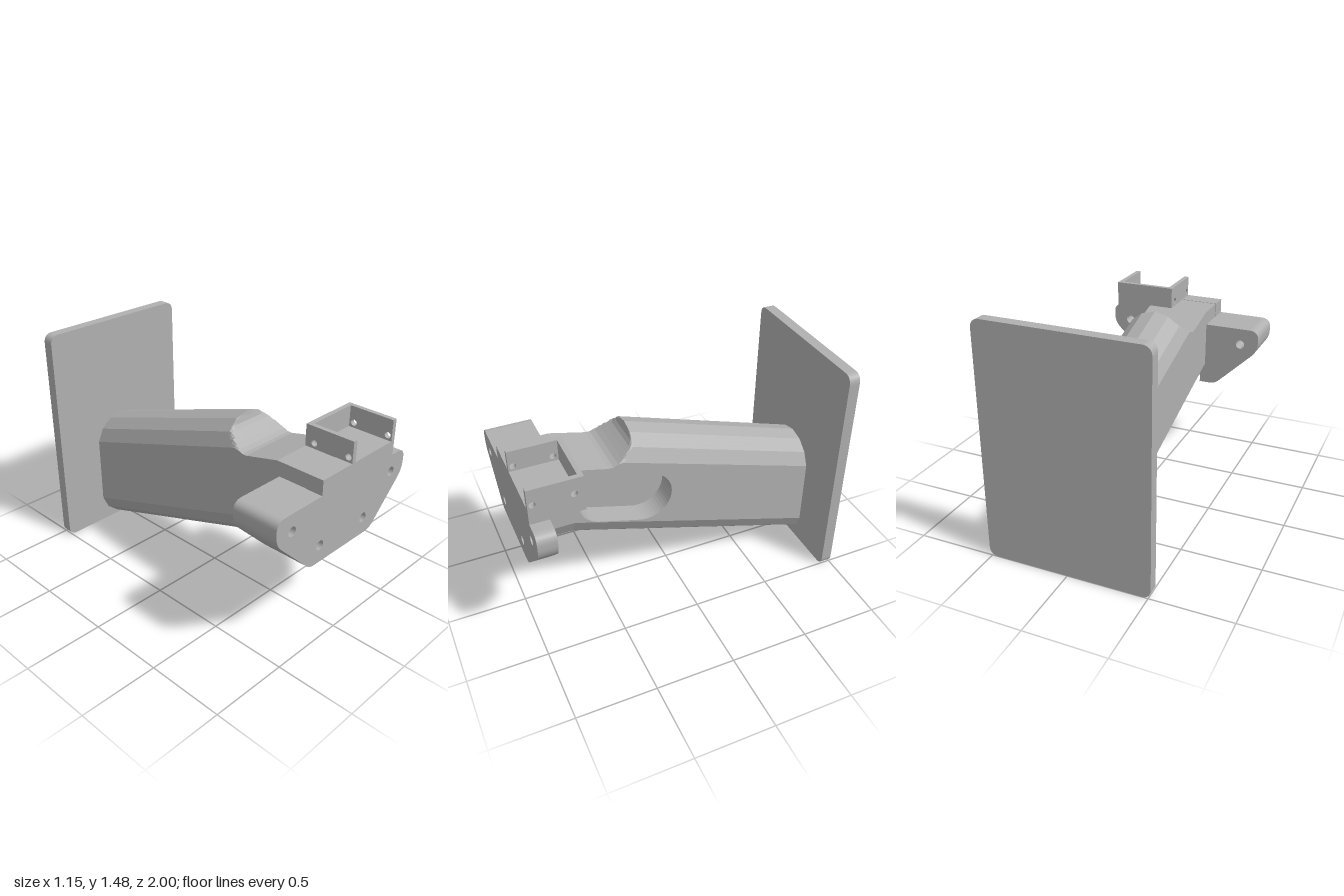
import * as THREE from 'three';

const grey = new THREE.MeshStandardMaterial({ color: 0xb0b0b0 });
grey.name = 'plain grey';

function part(group, name, geometry, x = 0, y = 0, z = 0) {
  const mesh = new THREE.Mesh(geometry, grey);
  mesh.name = name;
  mesh.position.set(x, y, z);
  group.add(mesh);
  return mesh;
}

// Closed outline from [x, y, cornerRadius] points
function outline(points) {
  const shape = new THREE.Shape();
  const n = points.length;
  points.forEach(([x, y, r = 0], i) => {
    const toward = ([px, py]) => {
      const k = r / Math.hypot(px - x, py - y);
      return [x + (px - x) * k, y + (py - y) * k];
    };
    const a = toward(points[(i + n - 1) % n]);
    const b = toward(points[(i + 1) % n]);
    if (i === 0) shape.moveTo(...a); else shape.lineTo(...a);
    if (r > 0) shape.quadraticCurveTo(x, y, ...b);
  });
  shape.closePath();
  return shape;
}

function circleHole(x, y, r) {
  return new THREE.Path().absarc(x, y, r, 0, Math.PI * 2, true);
}

const extrude = (shape, depth) =>
  new THREE.ExtrudeGeometry(shape, { depth, bevelEnabled: false, curveSegments: 12 });

// Arm: fourteen-sided rounded ends, sloping up to the front, with a scooped top
const BACK = -0.93, FRONT = 0.885, R = 0.21, SLOPE = 0.326, WALL_X = R * Math.sin(Math.PI * 3 / 7);
const scoop = [[0.27, 1.2], [0.274, 1.165], [0.282, 1.135], [0.3, 1.11], [0.33, 1.086], [0.36, 1.064],
  [0.39, 1.044], [0.42, 1.032], [0.45, 1.032], [0.48, 1.039], [0.68, 1.088], [0.82, 1.088], [FRONT, 1.088]];
const stations = [[BACK, 9], ...scoop];

// Half arc points [x, height above the lowest point], facets subdivided
const arc = [];
for (let i = -3; i <= 3; i++) {
  const at = k => [R * Math.sin(k * Math.PI / 7), R * 1.05 * (1 - Math.cos(k * Math.PI / 7))];
  const [p, q] = [at(i), at(i + 1)];
  for (let s = 0; s < (i < 3 ? 4 : 1); s++) {
    arc.push([p[0] + (q[0] - p[0]) * s / 4, p[1] + (q[1] - p[1]) * s / 4]);
  }
}

function armRing([z, cut]) {
  const low = 0.005 + SLOPE * (Math.min(z, 0.68) - BACK);
  const high = 0.80 + SLOPE * (z - BACK);
  const floor = z > 0.8 ? 0.57 : -1;
  const bottom = arc.map(([x, h]) => [x, Math.max(low + h, floor), z]);
  const top = arc.map(([x, h]) => [x, Math.min(high - h, cut), z]).reverse();
  return [...bottom, ...top];
}

function armSkin(rings) {
  const pos = [];
  const n = rings[0].length;
  for (let i = 0; i < rings.length - 1; i++) {
    for (let j = 0; j < n; j++) {
      if (j === arc.length - 1) continue; // slotted wall is a separate part
      const k = (j + 1) % n;
      const a = rings[i][j], b = rings[i][k], c = rings[i + 1][k], d = rings[i + 1][j];
      pos.push(...a, ...b, ...d, ...b, ...c, ...d);
    }
  }
  const g = new THREE.BufferGeometry();
  g.setAttribute('position', new THREE.Float32BufferAttribute(pos, 3));
  g.computeVertexNormals();
  return g;
}

// Slanted slot outline, drawn with horizontal axis = -z
function slot(Type) {
  const a = Math.atan2(-0.075, 0.26), h = Math.PI / 2;
  const p = new Type();
  p.absarc(-0.48, 0.82, 0.17, a + h, a + 3 * h, false);
  p.absarc(-0.22, 0.745, 0.17, a - h, a + h, false);
  p.closePath();
  return p;
}

export function createModel() {
  const model = new THREE.Group();
  model.name = 'wallBracket';

  // Wall plate
  const wallPlate = outline([[-0.515, 0, 0.06], [0.515, 0, 0.06], [0.515, 1.475, 0.06], [-0.515, 1.475, 0.06]]);
  part(model, 'wallPlate', extrude(wallPlate, 0.07), 0, 0, -1);

  // Arm skin and its front end
  const arm = new THREE.Group();
  arm.name = 'arm';
  model.add(arm);
  const rings = stations.map(armRing);
  part(arm, 'armSkin', armSkin(rings));
  const end = new THREE.Shape(rings[rings.length - 1].map(([x, y]) => new THREE.Vector2(x, y)));
  part(arm, 'armEnd', new THREE.ShapeGeometry(end), 0, 0, FRONT);

  // Slotted side wall with a blind pocket
  const depth = 0.15, last = arc.length - 1;
  const wall = new THREE.Shape([
    ...rings.map(r => new THREE.Vector2(-r[last][2], r[last][1])),
    ...rings.map(r => new THREE.Vector2(-r[last + 1][2], r[last + 1][1])).reverse(),
  ]);
  wall.holes.push(slot(THREE.Path));
  part(arm, 'slottedWall', extrude(wall, depth).rotateY(Math.PI / 2), WALL_X - depth);
  part(arm, 'slotFloor', new THREE.ShapeGeometry(slot(THREE.Shape), 12).rotateY(Math.PI / 2), WALL_X - depth + 0.001);

  // Front mounting plate with four screw holes
  const ear = [[-0.575, 0.995, 0.065], [-0.575, 0.853, 0.06], [-0.28, 0.568, 0.04]];
  const mirrored = ear.map(([x, y, r]) => [-x, y, r]).reverse();
  const face = outline([...ear, ...mirrored, [0.045, 0.995], [0.045, 1.09], [-0.208, 1.09], [-0.208, 0.995]]);
  for (const s of [-1, 1]) {
    face.holes.push(circleHole(s * 0.45, 0.885, 0.03), circleHole(s * 0.2, 0.68, 0.03));
  }
  part(model, 'frontPlate', extrude(face, 1 - FRONT), 0, 0, FRONT);

  // Deep block behind one ear
  const block = outline([...ear, [-0.17, 0.568], [-0.17, 0.995]]);
  block.holes.push(circleHole(-0.45, 0.885, 0.03));
  part(model, 'deepEar', extrude(block, FRONT - 0.70), 0, 0, 0.70);

  // Open-fronted tray
  const tray = new THREE.Group();
  tray.name = 'tray';
  model.add(tray);
  part(tray, 'trayBase', new THREE.BoxGeometry(0.405, 0.095, 0.325), 0.2475, 1.0425, 0.8375);
  part(tray, 'trayBack', new THREE.BoxGeometry(0.345, 0.135, 0.03), 0.2475, 1.1575, 0.69);
  const side = outline([[-1, 1.09], [-0.675, 1.09], [-0.675, 1.225], [-1, 1.225]]);
  side.holes.push(circleHole(-0.972, 1.122, 0.02), circleHole(-0.737, 1.122, 0.02));
  for (const x of [0.045, 0.42]) {
    part(tray, 'traySide', extrude(side, 0.03).rotateY(Math.PI / 2), x);
  }
  return model;
}
